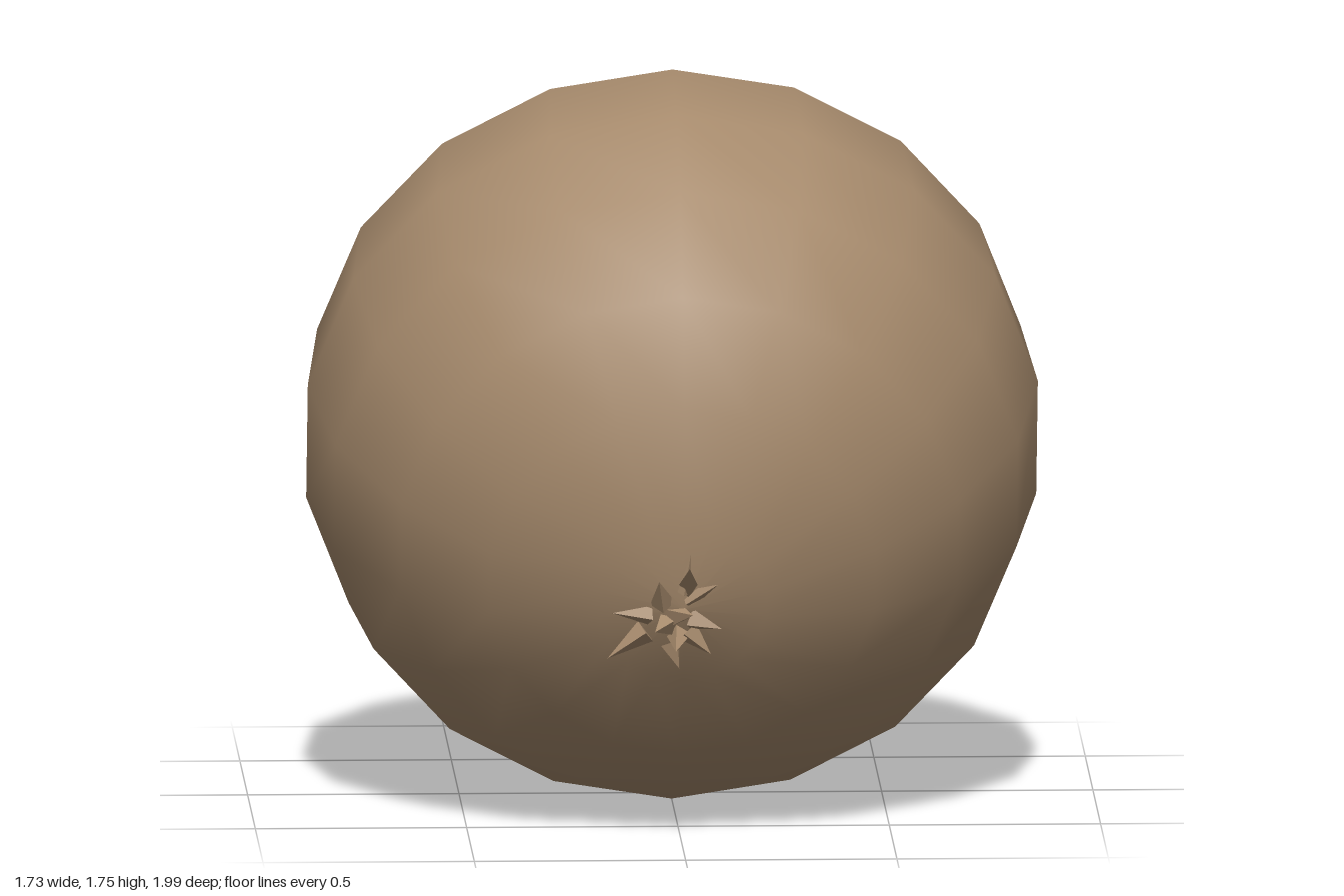
import * as THREE from 'three';

const skin = new THREE.MeshStandardMaterial({ color: 0xa68a6c });
skin.name = 'brown skin';
const skinOpen = new THREE.MeshStandardMaterial({ color: 0xa68a6c, side: THREE.DoubleSide, flatShading: true });
skinOpen.name = 'brown skin, open layers';

function add(parent, name, geometry, material) {
  const mesh = new THREE.Mesh(geometry, material);
  mesh.name = name;
  parent.add(mesh);
  return mesh;
}

// Open tube with a zigzag rim, for the torn layers at the neck
function tornLayer(radius, bottom, top, jag, sides, phase) {
  const geo = new THREE.CylinderGeometry(radius * 0.85, radius, top - bottom, sides, 1, true, phase);
  geo.translate(0, (top + bottom) / 2, 0);
  const p = geo.attributes.position;
  for (let i = 0; i <= sides; i++) {
    const k = i % sides;
    p.setY(i, top + jag * (k % 2 ? 1 : -0.6) * (0.6 + 0.4 * Math.cos(k * 2.3)));
  }
  geo.computeVertexNormals();
  return geo;
}

// Thin tapering root between two points
function spike(base, tip, radius) {
  const a = new THREE.Vector3(...base), b = new THREE.Vector3(...tip);
  const dir = b.clone().sub(a);
  const geo = new THREE.ConeGeometry(radius, dir.length(), 4, 1);
  geo.translate(0, dir.length() / 2, 0);
  geo.applyQuaternion(new THREE.Quaternion().setFromUnitVectors(new THREE.Vector3(0, 1, 0), dir.normalize()));
  geo.translate(a.x, a.y, a.z);
  return geo;
}

export function createModel() {
  const model = new THREE.Group();
  model.name = 'onion';

  // Bulb and neck turned about an axis that leans back
  const bulb = new THREE.Group();
  bulb.name = 'bulb';
  bulb.position.set(0, 0.88, 0.08);
  bulb.rotation.x = -THREE.MathUtils.degToRad(70);
  model.add(bulb);

  const profile = [
    [0, -0.862], [0.2, -0.835], [0.465, -0.725], [0.67, -0.55], [0.82, -0.31], [0.877, -0.035],
    [0.845, 0.245], [0.697, 0.5], [0.468, 0.69], [0.26, 0.815], [0.16, 0.885], [0.125, 0.96], [0.115, 1.07],
  ].map(([r, t]) => new THREE.Vector2(r, t));
  const body = new THREE.LatheGeometry(profile, 18);
  const p = body.attributes.position;
  for (let i = 0; i < p.count; i++) {
    if (p.getY(i) > 0.8) p.setX(i, p.getX(i) + 0.02);
  }
  add(bulb, 'body', body, skin);

  // Torn, dried layers closing the neck
  const neck = new THREE.Group();
  neck.name = 'neckTip';
  neck.position.x = 0.02;
  bulb.add(neck);
  [[0.116, 1.0, 1.08, 0.02, 10, 0], [0.085, 1.0, 1.095, 0.025, 8, 0.5], [0.05, 1.0, 1.11, 0.03, 6, 1]]
    .forEach((args) => add(neck, 'tornLayer', tornLayer(...args), skinOpen));
  const plug = add(neck, 'neckPlug', new THREE.CircleGeometry(0.115, 10), skinOpen);
  plug.rotation.x = -Math.PI / 2;
  plug.position.y = 1.05;

  // Tuft of short dry roots at the front
  const roots = new THREE.Group();
  roots.name = 'roots';
  model.add(roots);
  [
    [[-0.09, 0.53, 0.86], [-0.18, 0.465, 0.86], 0.03],
    [[-0.08, 0.57, 0.87], [-0.17, 0.58, 0.9], 0.025],
    [[-0.05, 0.6, 0.88], [-0.06, 0.66, 0.94], 0.03],
    [[0.0, 0.63, 0.89], [0.015, 0.72, 0.92], 0.025],
    [[0.01, 0.64, 0.89], [0.01, 0.7, 0.995], 0.025],
    [[0.01, 0.61, 0.88], [0.08, 0.65, 0.92], 0.025],
    [[0.02, 0.56, 0.87], [0.09, 0.54, 0.9], 0.03],
    [[0.01, 0.53, 0.86], [0.065, 0.475, 0.87], 0.03],
    [[-0.03, 0.5, 0.85], [-0.01, 0.44, 0.86], 0.03],
    [[-0.04, 0.55, 0.87], [-0.07, 0.54, 0.94], 0.03],
    [[-0.01, 0.52, 0.86], [-0.02, 0.49, 0.92], 0.03],
    [[-0.02, 0.57, 0.87], [0.02, 0.58, 0.94], 0.03],
  ].forEach((args) => add(roots, 'root', spike(...args), skinOpen));

  return model;
}
